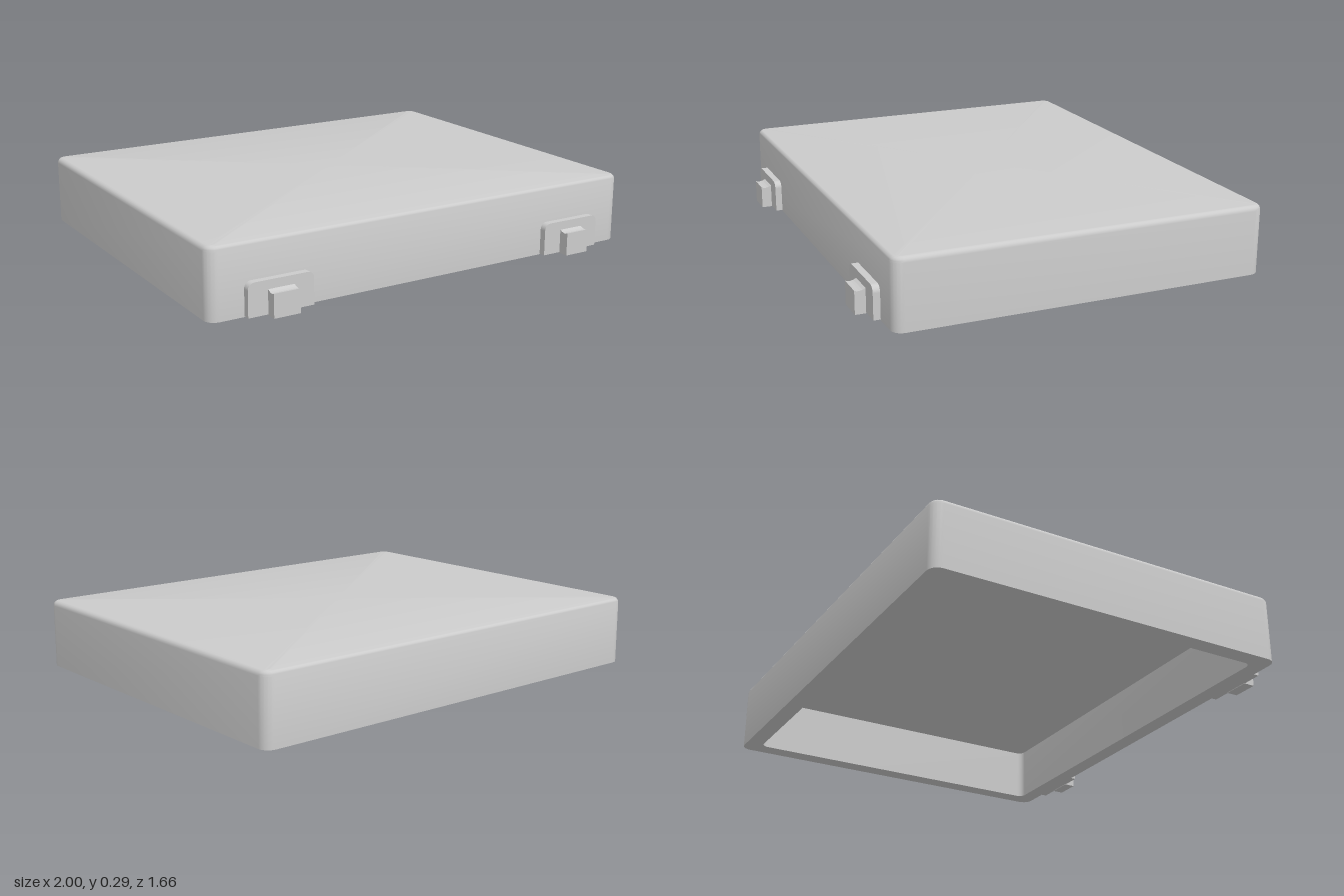
import * as THREE from 'three';
import { toCreasedNormals } from 'three/addons/utils/BufferGeometryUtils.js';

const material = new THREE.MeshStandardMaterial({ color: 0xcccccc });
const HALF_X = 1, HALF_Z = 0.795, CENTRE_Z = -0.037;
const HEIGHT = 0.295, WALL = 0.075, CEILING = 0.24, CORNER = 0.045, FILLET = 0.022;

// Rounded rectangle of points at height y, shrunk inwards by inset
function ring(inset, y, radius = Math.max(CORNER - inset, 0.003)) {
  const points = [], steps = 5;
  const cx = HALF_X - inset - radius, cz = HALF_Z - inset - radius;
  [[1, 1], [-1, 1], [-1, -1], [1, -1]].forEach(([sx, sz], corner) => {
    for (let i = 0; i <= steps; i++) {
      const a = (corner + i / steps) * Math.PI / 2;
      points.push([sx * cx + radius * Math.cos(a), y, sz * cz + radius * Math.sin(a)]);
    }
  });
  return points;
}

// Skin through successive rings, closed by a fan at each end
function loft(rings, startY, endY) {
  const pos = [];
  const n = rings[0].length, last = rings[rings.length - 1];
  for (let k = 0; k < n; k++) {
    const j = (k + 1) % n;
    pos.push(...[0, startY, 0], ...rings[0][k], ...rings[0][j]);
    for (let i = 0; i < rings.length - 1; i++) {
      const a = rings[i][k], b = rings[i][j], c = rings[i + 1][k], d = rings[i + 1][j];
      pos.push(...a, ...c, ...b, ...b, ...c, ...d);
    }
    pos.push(...last[k], ...[0, endY, 0], ...last[j]);
  }
  const geometry = new THREE.BufferGeometry();
  geometry.setAttribute('position', new THREE.Float32BufferAttribute(pos, 3));
  return toCreasedNormals(geometry, Math.PI / 6);
}

function add(parent, name, geometry) {
  const mesh = new THREE.Mesh(geometry, material);
  mesh.name = name;
  parent.add(mesh);
  return mesh;
}

// Latch plate with rounded upper corners, carrying a small catch block
function latch(side) {
  const group = new THREE.Group();
  group.name = side > 0 ? 'leftLatch' : 'rightLatch';

  const w = 0.142, h = 0.14, r = 0.028;
  const plate = new THREE.Shape();
  plate.moveTo(-w, 0.003);
  plate.lineTo(w, 0.003);
  plate.lineTo(w, h - r);
  plate.absarc(w - r, h - r, r, 0, Math.PI / 2);
  plate.lineTo(-w + r, h);
  plate.absarc(-w + r, h - r, r, Math.PI / 2, Math.PI);
  const plateGeometry = new THREE.ExtrudeGeometry(plate, { depth: 0.05, bevelEnabled: false, curveSegments: 5 });
  add(group, 'latchPlate', plateGeometry).position.z = 0.737;

  // Side profile (depth, height) with a slightly hollow top
  const block = new THREE.Shape();
  block.moveTo(0, 0);
  block.lineTo(0.05, 0);
  block.lineTo(0.05, 0.098);
  block.quadraticCurveTo(0.03, 0.088, 0.005, 0.103);
  block.lineTo(0, 0.103);
  const blockGeometry = new THREE.ExtrudeGeometry(block, { depth: 0.114, bevelEnabled: false, curveSegments: 4 });
  blockGeometry.translate(0, 0, -0.057);
  blockGeometry.rotateY(-Math.PI / 2);
  add(group, 'latchCatch', blockGeometry).position.z = 0.782;

  group.position.x = side * 0.71;
  return group;
}

export function createModel() {
  const model = new THREE.Group();
  model.name = 'lid';

  // Hollow shell: inner ceiling, inner wall, rim, outer wall, rounded top edge
  const rings = [ring(WALL, CEILING, 0.03), ring(WALL, 0, 0.03), ring(0, 0)];
  for (let i = 0; i <= 5; i++) {
    const a = i / 5 * Math.PI / 2;
    rings.push(ring(FILLET * (1 - Math.cos(a)), HEIGHT - FILLET * (1 - Math.sin(a))));
  }
  rings.push(ring(FILLET + 0.002, HEIGHT));
  add(model, 'shell', loft(rings, CEILING, HEIGHT)).position.z = CENTRE_Z;

  // Front latches
  for (const side of [-1, 1]) model.add(latch(side));
  return model;
}
